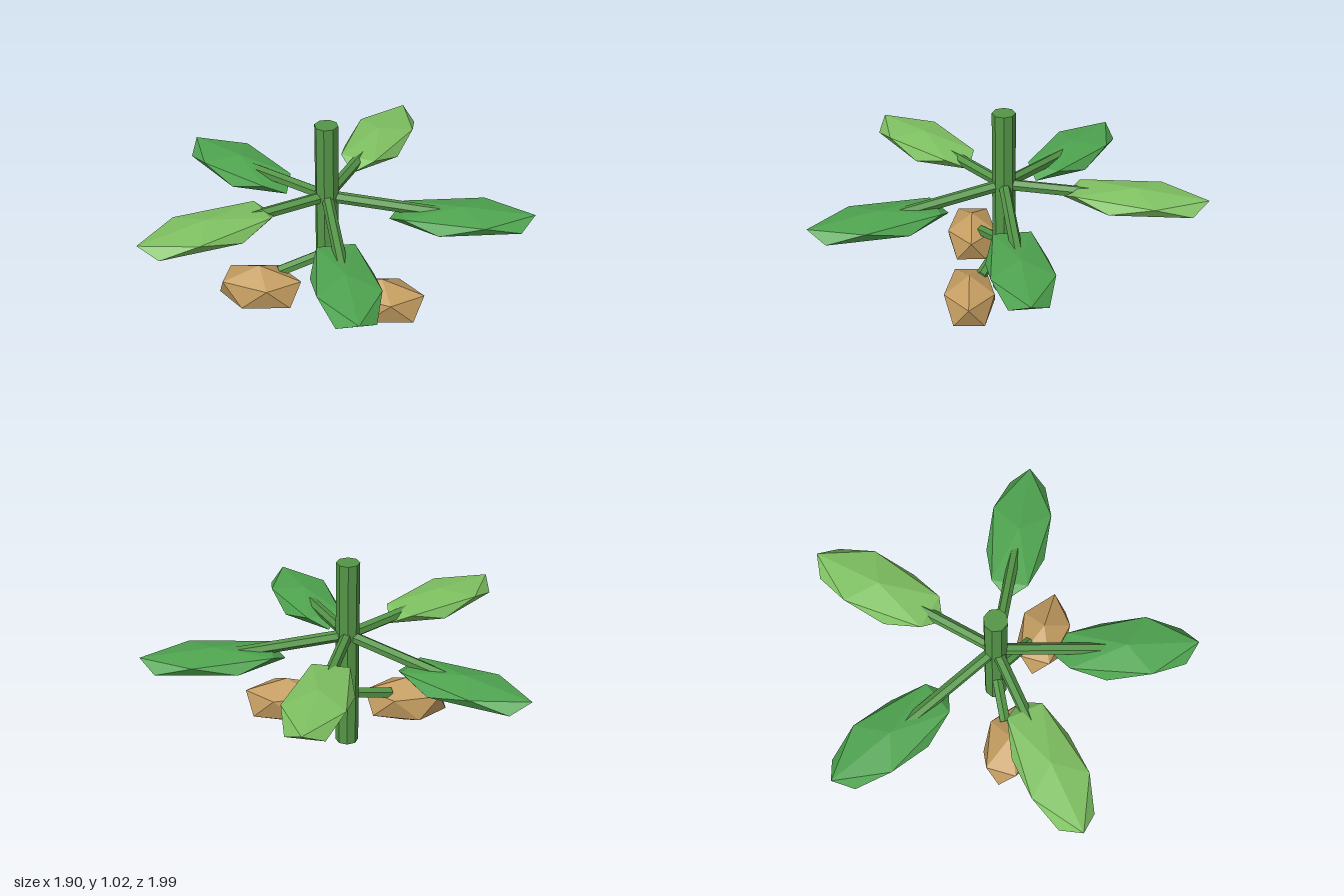
import * as THREE from 'three';

const mat = (color) => new THREE.MeshStandardMaterial({ color, flatShading: true });

// Icosahedron standing on a vertex, with an upper-ring corner at +x
function standingIcosahedron(sx, sy, sz) {
  const geo = new THREE.IcosahedronGeometry(1, 0);
  geo.rotateX(-Math.atan((1 + Math.sqrt(5)) / 2));
  geo.rotateY(Math.PI / 2);
  return geo.scale(sx, sy, sz);
}

// Straight rod between two points
function rod(name, a, b, radius, sides, material) {
  const dir = b.clone().sub(a);
  const mesh = new THREE.Mesh(new THREE.CylinderGeometry(radius, radius, dir.length(), sides), material);
  mesh.position.copy(a).add(b).multiplyScalar(0.5);
  mesh.quaternion.setFromUnitVectors(new THREE.Vector3(0, 1, 0), dir.normalize());
  mesh.name = name;
  return mesh;
}

export function createModel() {
  const model = new THREE.Group();
  model.name = 'plant';
  const stemMat = mat(0x559648);
  const darkLeaf = mat(0x4fa450);
  const lightLeaf = mat(0x7fc162);
  const nutMat = mat(0xc39c60);
  const X = -0.09, Z = 0.02;
  const v = (x, y, z) => new THREE.Vector3(x, y, z);

  // Upright main stem
  model.add(rod('mainStem', v(X, 0, Z), v(X, 1.02, Z), 0.06, 8, stemMat));

  // Five leaves around the stem: angle, centre x, centre z, light or dark
  const leafGeo = standingIcosahedron(0.41, 0.06, 0.18);
  const leaves = [
    [7, 0.59, -0.055, false],
    [78, 0.06, -0.64, true],
    [146, -0.645, -0.355, false],
    [221, -0.59, 0.445, true],
    [290.5, 0.13, 0.645, false],
  ];
  for (const [deg, x, z, light] of leaves) {
    const leaf = new THREE.Mesh(leafGeo, light ? lightLeaf : darkLeaf);
    leaf.name = 'leaf';
    leaf.position.set(x, light ? 0.617 : 0.53, z);
    leaf.rotation.y = THREE.MathUtils.degToRad(deg);
    model.add(leaf);

    // Leaf stalk, sloping down to the darker, lower leaves
    const t = 0.85;
    const end = v(X + (x - X) * t, light ? 0.622 : 0.55, Z + (z - Z) * t);
    model.add(rod('leafStalk', v(X, 0.62, Z), end, 0.03, 6, stemMat));
  }

  // Two tubers hanging in front, one on each side
  const nutGeo = standingIcosahedron(0.243, 0.13, 0.15);
  for (const side of [-1, 1]) {
    const nut = new THREE.Mesh(nutGeo, nutMat);
    nut.name = side > 0 ? 'leftTuber' : 'rightTuber';
    nut.position.set(X + side * 0.318, 0.14, 0.195);
    model.add(nut);
    model.add(rod('tuberStalk', v(X, 0.28, Z), v(X + side * 0.23, 0.21, 0.14), 0.03, 6, stemMat));
  }
  return model;
}
